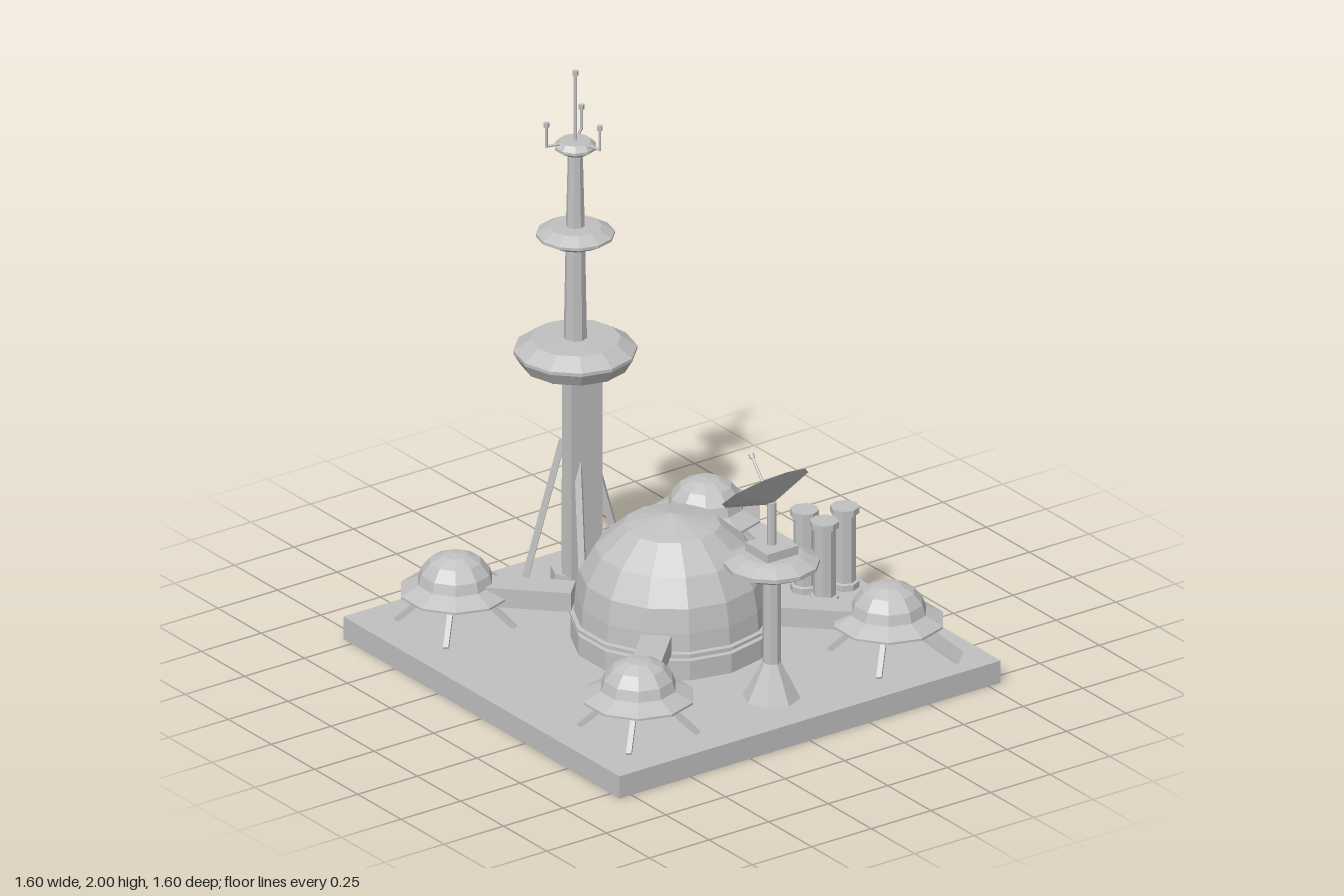
import * as THREE from 'three';

const grey = new THREE.MeshStandardMaterial({ color: 0xc0c0c0, flatShading: true });
grey.name = 'concrete grey';
const GROUND = 0.083;

function add(parent, geometry, name, x = 0, y = 0, z = 0) {
  const mesh = new THREE.Mesh(geometry, grey);
  mesh.name = name;
  mesh.position.set(x, y, z);
  parent.add(mesh);
  return mesh;
}

function group(parent, name, x = 0, z = 0) {
  const g = new THREE.Group();
  g.name = name;
  g.position.set(x, 0, z);
  parent.add(g);
  return g;
}

// Faceted turned part from [radius, height] pairs, bottom to top
function turned(parent, name, sides, profile) {
  const pts = profile.map(([r, y]) => new THREE.Vector2(r, y));
  return add(parent, new THREE.LatheGeometry(pts, sides), name);
}

// Straight bar between two points; four sides make a square bar
function bar(parent, name, from, to, radius, sides = 6, topRadius = radius) {
  const a = new THREE.Vector3(...from), b = new THREE.Vector3(...to);
  const dir = b.clone().sub(a);
  const mesh = add(parent, new THREE.CylinderGeometry(topRadius, radius, dir.length(), sides), name);
  mesh.position.copy(a).add(b).multiplyScalar(0.5);
  mesh.quaternion.setFromUnitVectors(new THREE.Vector3(0, 1, 0), dir.normalize());
  return mesh;
}

function mainDome(root) {
  const g = group(root, 'mainDome');
  turned(g, 'domeWall', 14, [[0.345, GROUND], [0.345, 0.155], [0.33, 0.158], [0.33, 0.17],
    [0.35, 0.172], [0.35, 0.182], [0.335, 0.185], [0.33, 0.25]]);
  turned(g, 'domeShell', 14, [[0.33, 0.25], [0.315, 0.335], [0.262, 0.43], [0.165, 0.515], [0, 0.553]]);
}

function pod(root, sx, sz) {
  const g = group(root, 'pod', sx * 0.525, sz * 0.53);
  turned(g, 'podSaucer', 10, [[0, 0.19], [0.1, 0.19], [0.195, 0.204], [0.195, 0.212], [0.13, 0.245], [0, 0.245]]);
  turned(g, 'podDome', 10, [[0.134, 0.24], [0.122, 0.28], [0.09, 0.32], [0.045, 0.342], [0, 0.347]]);
  const hasRamp = sx > 0 && sz > 0;
  for (const x of [-1, 1]) for (const z of [-1, 1]) {
    if (hasRamp && x > 0 && z > 0) continue;
    bar(g, 'podLeg', [x * 0.055, 0.2, z * 0.055], [x * 0.145, GROUND, z * 0.145], 0.013, 4);
  }
  if (hasRamp) {
    // Sloping boarding ramp towards the outer corner
    const turn = group(g, 'rampTurn');
    turn.rotation.y = Math.PI / 4;
    const ramp = add(turn, new THREE.BoxGeometry(0.09, 0.014, 0.2), 'ramp', 0, 0.14, 0.165);
    ramp.rotation.x = 0.62;
  }
  // Raised corridor to the main dome
  const c = group(root, 'corridor');
  c.rotation.y = Math.atan2(sx, sz);
  add(c, new THREE.BoxGeometry(0.104, 0.07, 0.33), 'corridorBody', 0, 0.216, 0.505);
}

function radarTower(root) {
  const g = group(root, 'radarTower', 0, 0.578);
  turned(g, 'radarColumn', 8, [[0.1, GROUND], [0.032, 0.215], [0.032, 0.56]]);
  turned(g, 'radarSaucer', 12, [[0, 0.545], [0.1, 0.545], [0.165, 0.578], [0.165, 0.592], [0.12, 0.615], [0.1, 0.622], [0, 0.622]]);
  add(g, new THREE.BoxGeometry(0.13, 0.034, 0.13), 'radarPlinth', 0, 0.637, 0);
  bar(g, 'radarPost', [0, 0.65, 0], [0, 0.81, 0], 0.016, 8);
  // Tilted dish facing up and back
  const dish = group(g, 'dish', 0, -0.038);
  dish.position.y = 0.848;
  dish.rotation.x = -0.707;
  turned(dish, 'dishBowl', 10, [[0, -0.06], [0.162, 0], [0, 0]]);
  bar(dish, 'dishFeed', [0, -0.01, 0], [0, 0.12, 0], 0.005);
  bar(dish, 'dishFeedTip', [0, 0.112, 0], [0, 0.128, 0], 0.01);
}

function mainTower(root) {
  const g = group(root, 'mainTower', 0, -0.56);
  turned(g, 'towerFoot', 8, [[0.085, GROUND], [0.085, 0.14], [0, 0.14]]);
  turned(g, 'towerColumn', 8, [[0.048, 0.13], [0.045, 0.95], [0.04, 1.0], [0.033, 1.4], [0.025, 1.72]]);
  add(g, new THREE.BoxGeometry(0.13, 0.79, 0.055), 'liftShaft', 0, 0.475, 0.04);
  turned(g, 'lowerDeck', 12, [[0, 0.9], [0.185, 0.905], [0.212, 0.95], [0.212, 0.962], [0.155, 1.0], [0, 1.003]]);
  turned(g, 'middleDeck', 12, [[0, 1.355], [0.09, 1.36], [0.135, 1.385], [0.135, 1.395], [0.09, 1.42], [0, 1.422]]);
  turned(g, 'topDeck', 10, [[0.025, 1.685], [0.045, 1.695], [0.073, 1.712], [0.073, 1.722], [0.055, 1.74], [0, 1.74]]);
  // Splayed support legs
  for (let i = 0; i < 4; i++) {
    const a = THREE.MathUtils.degToRad(27 + 90 * i);
    const cx = Math.cos(a), cz = Math.sin(a);
    bar(g, 'towerLeg', [cx * 0.18, GROUND, cz * 0.18], [cx * 0.045, 0.62, cz * 0.045], 0.016, 4);
  }
  // Central mast and three whip aerials
  bar(g, 'mast', [0, 1.73, 0], [0, 1.99, 0], 0.006);
  bar(g, 'mastTip', [0, 1.982, 0], [0, 2, 0], 0.01);
  for (const deg of [75, 193, 317]) {
    const a = THREE.MathUtils.degToRad(deg);
    const x = Math.cos(a) * 0.107, z = Math.sin(a) * 0.107;
    bar(g, 'aerialArm', [0, 1.735, 0], [x, 1.735, z], 0.005);
    bar(g, 'aerial', [x, 1.731, z], [x, 1.815, z], 0.005);
    bar(g, 'aerialTip', [x, 1.807, z], [x, 1.825, z], 0.01);
  }
}

function tanks(root) {
  for (const [x, z] of [[0.6, -0.06], [0.6, 0.055], [0.725, 0]]) {
    const g = group(root, 'storageTank', x, z);
    turned(g, 'tankBody', 8, [[0.05, GROUND], [0.05, 0.105], [0.039, 0.108], [0.039, 0.357],
      [0.05, 0.36], [0.05, 0.383], [0, 0.383]]);
  }
}

export function createModel() {
  const root = new THREE.Group();
  root.name = 'spaceBase';
  add(root, new THREE.BoxGeometry(1.6, GROUND, 1.6), 'groundSlab', 0, GROUND / 2, 0);
  mainDome(root);
  for (const sx of [-1, 1]) for (const sz of [-1, 1]) pod(root, sx, sz);
  radarTower(root);
  mainTower(root);
  tanks(root);
  return root;
}
